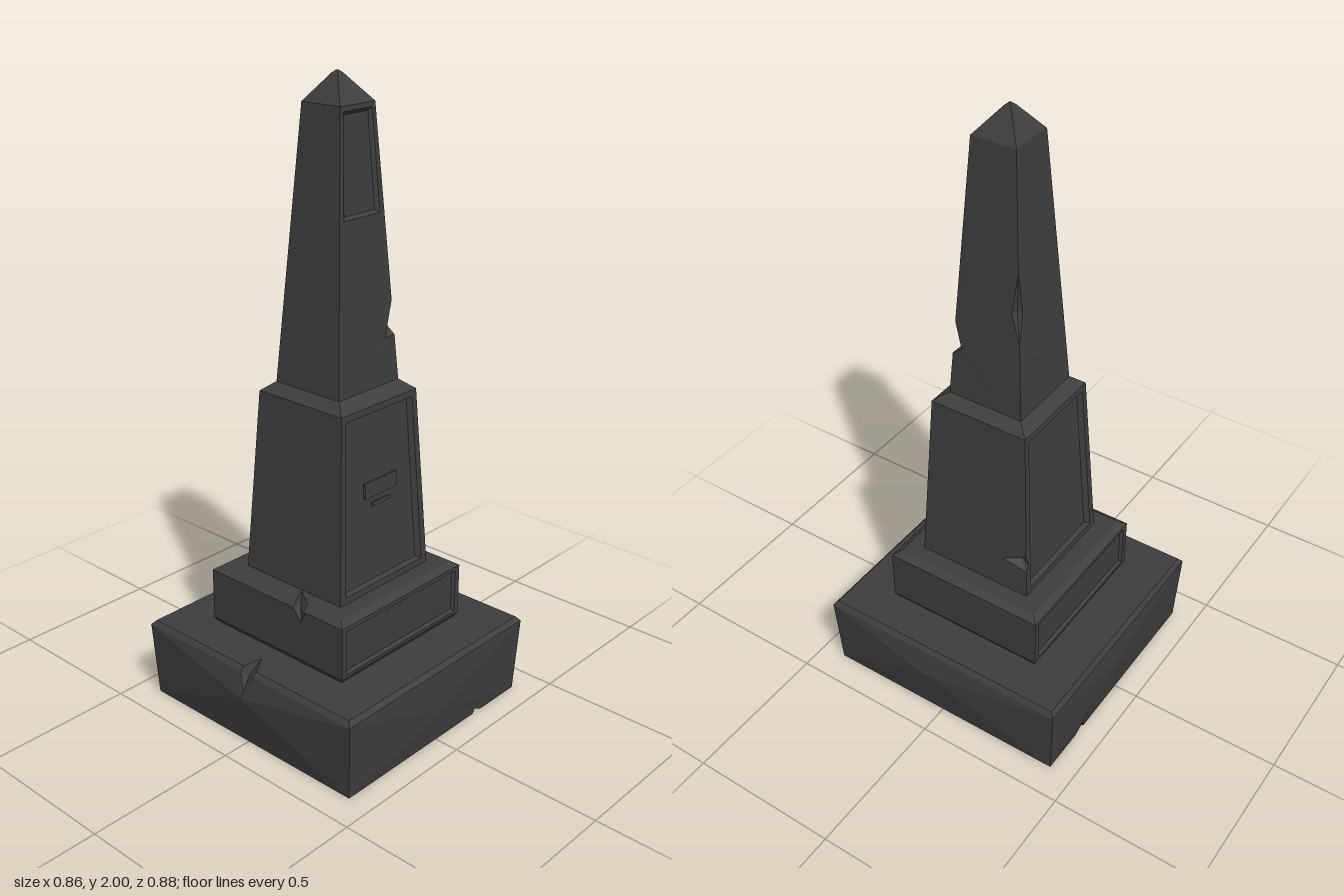
import * as THREE from 'three';

const V = (x, y, z) => new THREE.Vector3(x, y, z);
const mix = (a, b, t) => a.clone().lerp(b, t);
// Sides in order: front, right (+x), back, left (-x)
const SIDES = [V(0, 0, 1), V(1, 0, 0), V(0, 0, -1), V(-1, 0, 0)];

// Rectangular cross-section; corner i starts side i
const ring = (y, hx, hz = hx, cz = 0) => [
  V(-hx, y, cz + hz), V(hx, y, cz + hz), V(hx, y, cz - hz), V(-hx, y, cz - hz)];

// Four sloping faces between two cross-sections
function loft(a, b) {
  return SIDES.map((out, i) => {
    const j = (i + 1) % 4;
    const q = [a[i], a[j], b[j], b[i]];
    const n = q[2].clone().sub(q[0]).cross(q[3].clone().sub(q[1])).normalize();
    if (n.dot(V(0, 1, 0).add(out)) < 0) n.negate();
    return { quad: q, pts: [...q], n };
  });
}

// Splice extra points into one edge of a face
function insert(face, p, q, extra) {
  const P = face.pts;
  for (let i = 0; i < P.length; i++) {
    const a = P[i], b = P[(i + 1) % P.length];
    if (a === p && b === q) { P.splice(i + 1, 0, ...extra); return; }
    if (a === q && b === p) { P.splice(i + 1, 0, ...extra.slice().reverse()); return; }
  }
}

// Broken-out chip on an edge p-q shared by faces f and g, with deepest point d
function chip(out, f, g, p, q, t0, t1, onF, onG, d) {
  const a = mix(p, q, t0), b = mix(p, q, t1);
  insert(f, p, q, [a, onF, b]);
  if (g) insert(g, p, q, [a, onG, b]);
  fan(out, g ? [a, onF, b, onG] : [a, onF, b], d, f.n, !g);
}

// Chip running over a bevel: wall, bevel and flat top are all cut
function bevelChip(out, wall, bevels, k, top, t0, t1, onWall, onTop, d) {
  const [b0, b1, c1, c0] = bevels[k].quad;
  const a = mix(b0, b1, t0), b = mix(b0, b1, t1), a2 = mix(c0, c1, t0), b2 = mix(c0, c1, t1);
  insert(wall, b0, b1, [a, onWall, b]);
  insert(top, c0, c1, [a2, onTop, b2]);
  const n = bevels[k].n;
  bevels[k] = { pts: [b0, a, a2, c0], n };
  bevels.push({ pts: [b, b1, c1, b2], n });
  fan(out, [a, onWall, b, b2, onTop, a2], d, n);
}

function tri(out, a, b, c, n) {
  const m = b.clone().sub(a).cross(c.clone().sub(a));
  for (const p of m.dot(n) < 0 ? [a, c, b] : [a, b, c]) out.push(p.x, p.y, p.z);
}
function fan(out, loop, apex, n, open = false) {
  const count = loop.length - (open ? 1 : 0);
  for (let i = 0; i < count; i++) tri(out, loop[i], loop[(i + 1) % loop.length], apex, n);
}
function fill(out, pts, n, hole) {
  const flat = p => Math.abs(n.y) > 0.7 ? new THREE.Vector2(p.x, p.z)
    : Math.abs(n.x) > 0.6 ? new THREE.Vector2(p.z, p.y) : new THREE.Vector2(p.x, p.y);
  const all = hole ? [...pts, ...hole] : pts;
  const tris = THREE.ShapeUtils.triangulateShape(pts.map(flat), hole ? [hole.map(flat)] : []);
  for (const [i, j, k] of tris) tri(out, all[i], all[j], all[k], n);
}

// Emit a face: bulged to an apex, with a sunken panel, or plain
function emit(out, { pts, quad, n, apex, panel }) {
  if (apex) return fan(out, pts, apex, n);
  if (!panel) return fill(out, pts, n);
  const { u, v0, v1, depth, slope } = panel;
  const at = (s, t) => mix(mix(quad[0], quad[1], s), mix(quad[3], quad[2], s), t);
  const rect = (e, f) => [at(u + e, v0 + f), at(1 - u - e, v0 + f), at(1 - u - e, v1 - f), at(u + e, v1 - f)];
  const rim = rect(0, 0);
  const floor = rect(slope[0], slope[1]).map(p => p.addScaledVector(n, -depth));
  fill(out, pts, n, rim);
  for (let i = 0; i < 4; i++) {
    const j = (i + 1) % 4;
    tri(out, rim[i], rim[j], floor[j], n);
    tri(out, rim[i], floor[j], floor[i], n);
  }
  fill(out, floor, n);
}

export function createModel() {
  const group = new THREE.Group();
  const stone = new THREE.MeshStandardMaterial({ color: 0x3d3d3d, side: THREE.DoubleSide, flatShading: true });
  stone.name = 'darkStone';

  const add = (name, out, faces) => {
    faces.forEach(f => emit(out, f));
    const geo = new THREE.BufferGeometry();
    geo.setAttribute('position', new THREE.Float32BufferAttribute(out, 3));
    geo.computeVertexNormals();
    const mesh = new THREE.Mesh(geo, stone);
    mesh.name = name;
    group.add(mesh);
  };

  // Rough base slab, hollow underneath, each side bulging to a point
  const base0 = ring(0, 0.4, 0.418), base1 = ring(0.25, 0.413, 0.43), base2 = ring(0.265, 0.4, 0.417);
  const plinth0 = ring(0.265, 0.268);
  {
    const out = [], walls = loft(base0, base1), bevels = loft(base1, base2), top = loft(base2, plinth0);
    [V(0, 0.12, 0.438), V(0.432, 0.17, 0.05), V(0.05, 0.16, -0.44), V(-0.432, 0.17, 0)]
      .forEach((p, i) => { walls[i].apex = p; });
    chip(out, walls[0], null, base0[0], base0[1], 0.735, 0.785, V(0.23, 0.1, 0.428), null, V(0.21, 0, 0.38));
    chip(out, walls[2], null, base0[2], base0[3], 0.19, 0.25, V(0.23, 0.08, -0.424), null, V(0.22, 0, -0.38));
    bevelChip(out, walls[3], bevels, 3, top[3], 0.485, 0.55,
      V(-0.424, 0.19, 0.005), V(-0.335, 0.265, -0.003), V(-0.39, 0.235, 0));
    add('base', out, [...walls, ...bevels, ...top]);
  }

  // Plinth block with sunken front and back panels
  const plinth1 = ring(0.28, 0.277), plinth2 = ring(0.45, 0.277), plinth3 = ring(0.466, 0.254);
  const pedestal0 = ring(0.466, 0.202, 0.198, 0.004);
  {
    const out = [], foot = loft(plinth0, plinth1), walls = loft(plinth1, plinth2);
    const bevels = loft(plinth2, plinth3), top = loft(plinth3, pedestal0);
    for (const i of [0, 2]) walls[i].panel = { u: 0.035, v0: 0.06, v1: 0.92, depth: 0.01, slope: [0.012, 0.04] };
    bevelChip(out, walls[3], bevels, 3, top[3], 0.64, 0.73,
      V(-0.277, 0.41, 0.11), V(-0.206, 0.466, 0.045), V(-0.25, 0.44, 0.085));
    add('plinth', out, [...foot, ...walls, ...bevels, ...top]);
  }

  // Tapered pedestal with framed front and back
  const pedestal1 = ring(1.055, 0.167, 0.167, 0.006), shaft0 = ring(1.085, 0.132, 0.127, 0.004);
  {
    const out = [], walls = loft(pedestal0, pedestal1), shoulder = loft(pedestal1, shaft0);
    for (const i of [0, 2]) walls[i].panel = { u: 0.06, v0: 0.035, v1: 0.965, depth: 0.014, slope: [0.035, 0.013] };
    chip(out, walls[1], walls[2], pedestal0[2], pedestal1[2], 0.165, 0.26,
      V(0.194, 0.575, -0.1), V(0.18, 0.58, -0.187), V(0.165, 0.585, -0.15));
    add('pedestal', out, [...walls, ...shoulder]);
  }

  // Tall shaft with a narrow sunken panel high on the front
  const shaft1 = ring(1.915, 0.073, 0.073, 0.007);
  {
    const out = [], walls = loft(shaft0, shaft1);
    walls[0].panel = { u: 0.1, v0: 0.62, v1: 0.982, depth: 0.01, slope: [0.06, 0.012] };
    chip(out, walls[0], walls[1], shaft0[1], shaft1[1], 0.17, 0.3,
      V(0.08, 1.225, 0.122), V(0.122, 1.25, 0.09), V(0.1, 1.25, 0.1));
    chip(out, walls[1], walls[2], shaft0[2], shaft1[2], 0.3, 0.57,
      V(0.108, 1.43, -0.075), V(0.083, 1.43, -0.095), V(0.088, 1.43, -0.08));
    add('shaft', out, walls);
  }

  // Pyramid cap with a tiny blunt tip
  {
    const tip0 = ring(1.993, 0.011, 0.011, 0.003), tip1 = ring(2, 0.003, 0.003, 0.003);
    add('cap', [], [...loft(shaft1, tip0), ...loft(tip0, tip1), { pts: tip1, n: V(0, 1, 0) }]);
  }

  // Small plain tablet and ledge on the pedestal front
  const tilt = -Math.atan2(0.029, 0.589);
  for (const [name, w, h, x, y] of [['tablet', 0.145, 0.05, 0.005, 0.79], ['tabletLedge', 0.08, 0.012, 0.005, 0.74]]) {
    const mesh = new THREE.Mesh(new THREE.BoxGeometry(w, h, 0.009), stone);
    mesh.name = name;
    mesh.position.set(x, y, 0.202 - (y - 0.466) * 0.049 - 0.012);
    mesh.rotation.x = tilt;
    group.add(mesh);
  }
  return group;
}
